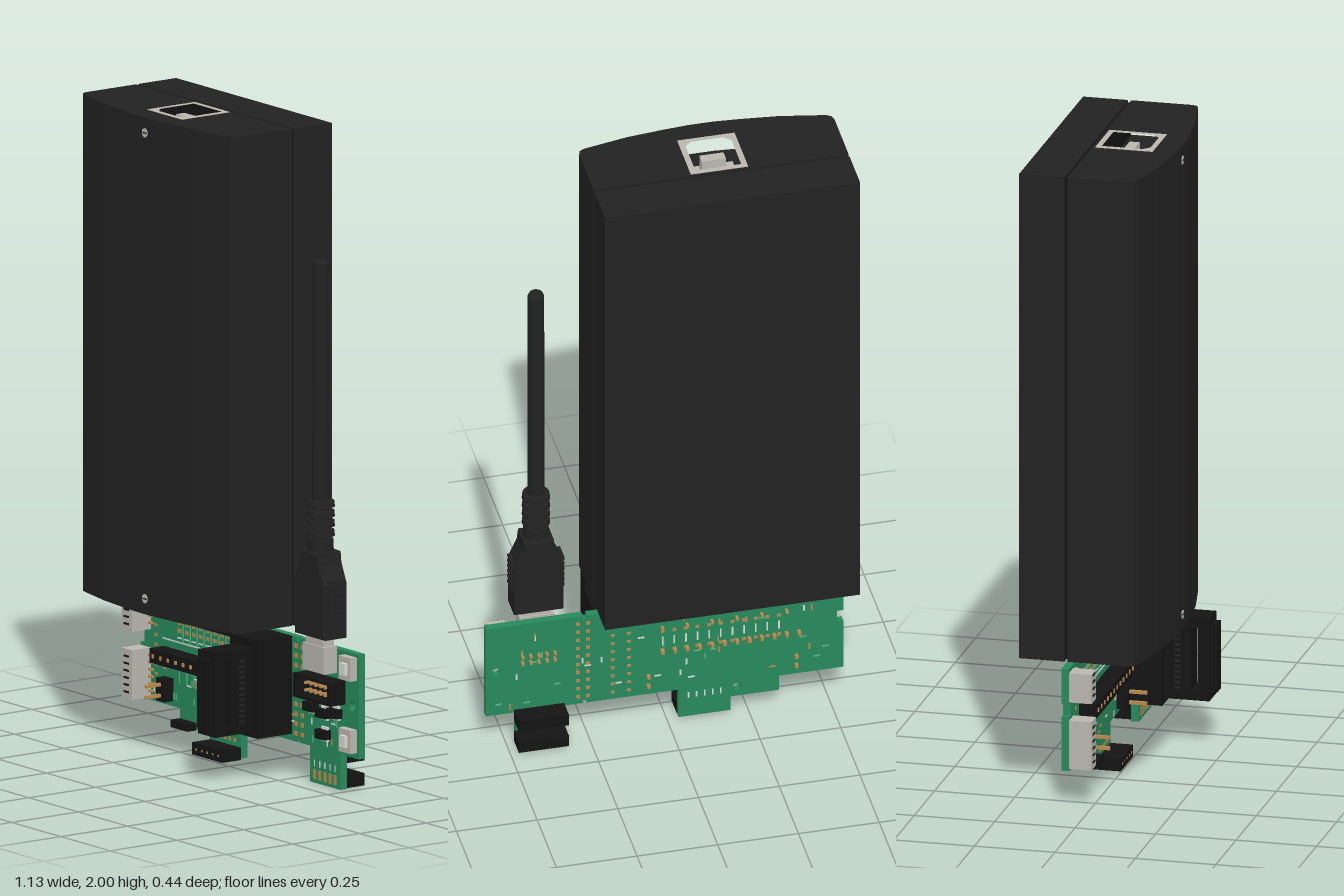
import * as THREE from 'three';

const mat = (name, color) => {
  const m = new THREE.MeshStandardMaterial({ color });
  m.name = name;
  return m;
};

export function createModel() {
  const model = new THREE.Group();
  const black = mat('case black', 0x222222);
  const dark = mat('connector black', 0x141414);
  const green = mat('board green', 0x278a5c);
  const mint = mat('trace green', 0x4fb184);
  const white = mat('silkscreen white', 0xd8dcd4);
  const metal = mat('socket grey', 0xbab7ae);
  const gold = mat('pad gold', 0xb98a4e);

  const group = (name) => {
    const g = new THREE.Group();
    g.name = name;
    model.add(g);
    return g;
  };
  const add = (parent, name, geo, m) => {
    const mesh = new THREE.Mesh(geo, m);
    mesh.name = name;
    parent.add(mesh);
    return mesh;
  };
  // box given by its limits
  const box = (parent, name, m, x0, x1, y0, y1, z0, z1) => {
    const g = new THREE.BoxGeometry(x1 - x0, y1 - y0, z1 - z0);
    g.translate((x0 + x1) / 2, (y0 + y1) / 2, (z0 + z1) / 2);
    return add(parent, name, g, m);
  };
  const points = (list) => list.map(([x, y]) => new THREE.Vector2(x, y));
  // plan outline in (x, z), raised from y0 to y1
  const raise = (parent, name, m, plan, y0, y1, hole) => {
    const flip = (l) => points(l.map(([x, z]) => [x, -z]));
    const shape = new THREE.Shape(flip(plan));
    if (hole) shape.holes.push(new THREE.Path(flip(hole)));
    const g = new THREE.ExtrudeGeometry(shape, { depth: y1 - y0, bevelEnabled: false });
    g.rotateX(-Math.PI / 2).translate(0, y0, 0);
    return add(parent, name, g, m);
  };
  const rect = (x0, x1, z0, z1) => [[x0, z0], [x1, z0], [x1, z1], [x0, z1]];

  // ---- Enclosure: flat back half, bowed front half, groove between
  const enclosure = group('enclosure');
  const cx = -0.172;
  const half = [[0.395, -0.07], [0.395, 0.118], [0.39, 0.133], [0.375, 0.142], [0.235, 0.17], [0.12, 0.182], [0.04, 0.188]];
  const front = [...half.map(([x, z]) => [cx + x, z]), ...half.slice().reverse().map(([x, z]) => [cx - x, z])];
  const socketHole = rect(-0.258, -0.08, -0.062, 0.117);
  box(enclosure, 'backShell', black, -0.567, 0.223, 0.467, 1.999, -0.22, -0.08);
  box(enclosure, 'seamGroove', dark, -0.56, 0.216, 0.473, 1.993, -0.081, -0.069);
  raise(enclosure, 'frontShell', black, front, 0.467, 1.89);
  raise(enclosure, 'frontShellTop', black, front, 1.89, 1.999, socketHole);
  for (const y of [0.515, 1.952]) {
    const g = new THREE.CylinderGeometry(0.014, 0.014, 0.006, 16).rotateX(Math.PI / 2);
    add(enclosure, 'screw', g, metal).position.set(cx, y, 0.187);
    box(enclosure, 'screwSlot', dark, cx - 0.009, cx + 0.009, y - 0.002, y + 0.002, 0.188, 0.191);
  }

  // ---- Square socket in the top face
  const socket = group('topSocket');
  const opening = [[-0.24, -0.045], [-0.098, -0.045], [-0.098, 0.08], [-0.118, 0.101], [-0.22, 0.101], [-0.24, 0.08]];
  raise(socket, 'socketFrame', metal, socketHole, 1.895, 2, opening);
  box(socket, 'socketFloor', metal, -0.25, -0.09, 1.885, 1.9, -0.055, 0.11);
  box(socket, 'socketTongue', metal, -0.207, -0.132, 1.9, 1.985, 0.014, 0.046);

  // ---- Circuit board with tabs and mounting holes
  const board = group('circuitBoard');
  const zb = -0.094, zf = -0.07;
  const outline = new THREE.Shape(points([
    [-0.545, 0.437], [-0.545, 0.325], [-0.525, 0.325], [-0.525, 0.285], [-0.545, 0.285], [-0.545, 0.114],
    [-0.345, 0.114], [-0.345, 0.062], [-0.195, 0.062], [-0.195, 0.012], [-0.035, 0.012], [-0.035, 0.114],
    [0.25, 0.114], [0.25, 0.124], [0.262, 0.124], [0.262, 0.114], [0.315, 0.114], [0.315, 0.004],
    [0.47, 0.004], [0.47, 0.114], [0.563, 0.114], [0.563, 0.437],
    [0.262, 0.437], [0.262, 0.425], [0.25, 0.425], [0.25, 0.437]]));
  for (const [x, y] of [[0.53, 0.272], [-0.215, 0.095]]) {
    outline.holes.push(new THREE.Path().absarc(x, y, 0.014, 0, Math.PI * 2, true));
  }
  const plate = new THREE.ExtrudeGeometry(outline, { depth: zf - zb, bevelEnabled: false, curveSegments: 10 });
  add(board, 'boardPlate', plate.translate(0, 0, zb), green);

  // thin painted marks on either face
  const mark = (m, x, y, w, h, back) => box(board, back ? 'backMark' : 'frontMark', m,
    x - w / 2, x + w / 2, y - h / 2, y + h / 2, back ? zb - 0.002 : zf, back ? zb : zf + 0.002);
  for (let i = 0; i < 11; i++) {
    const x = -0.345 + i * 0.036;
    for (const y of [0.352, 0.376, 0.4]) mark(gold, x, y, 0.016, 0.012, false);
    mark(white, x, 0.33, 0.022, 0.004, false);
    mark(mint, x + 0.018, 0.365, 0.005, 0.09, false);
    mark(mint, x, 0.215, 0.004, 0.05, false);
    for (const y of [0.27, 0.34, 0.39]) mark(gold, x, y, 0.012, 0.01, true);
    mark(white, x, 0.305, 0.005, 0.03, true);
  }
  for (let i = 0; i < 10; i++) {
    const y = 0.14 + i * 0.03;
    for (const x of [0.246, 0.278]) {
      mark(gold, x, y, 0.016, 0.014, false);
      mark(gold, x, y, 0.012, 0.011, true);
    }
    for (const x of [-0.465, 0.12, 0.17]) mark(gold, x, y, 0.012, 0.009, x > 0);
  }
  mark(white, -0.2, 0.316, 0.46, 0.004, false);
  mark(mint, -0.2, 0.23, 0.44, 0.006, false);
  // scattered legend marks
  let seed = 7;
  const rnd = () => (seed = (seed * 16807) % 2147483647) / 2147483647;
  for (let i = 0; i < 90; i++) {
    const back = i % 2 === 0;
    const x = -0.5 + rnd() * 1.03, y = (back ? 0.13 : 0.125) + rnd() * (back ? 0.29 : 0.1);
    if (Math.hypot(x - 0.53, y - 0.272) < 0.04 || Math.hypot(x + 0.215, y - 0.095) < 0.04) continue;
    const upright = rnd() > 0.5;
    mark([white, mint, gold][i % 3], x, y, upright ? 0.005 : 0.02, upright ? 0.02 : 0.005, back);
  }
  for (let i = 0; i < 5; i++) {
    mark(gold, 0.34 + i * 0.026, 0.03, 0.012, 0.03, false);
    mark(white, 0.34 + i * 0.026, 0.065, 0.004, 0.02, false);
    mark(gold, -0.165 + i * 0.025, 0.065, 0.012, 0.012, false);
    mark(white, -0.165 + i * 0.025, 0.09, 0.005, 0.02, true);
  }

  // ---- Headers
  const headers = group('headers');
  box(headers, 'dockConnector', dark, -0.4, 0.055, 0.415, 0.469, -0.07, 0.03);
  box(headers, 'longHeader', dark, -0.425, 0.04, 0.248, 0.292, zf, -0.015);
  for (let i = 0; i < 12; i++) {
    const x = -0.406 + i * 0.0385;
    box(headers, 'headerPin', gold, x - 0.005, x + 0.005, 0.264, 0.276, zb - 0.018, -0.012);
    if (i % 2) box(headers, 'rearPin', gold, x - 0.004, x + 0.004, 0.352, 0.36, zb - 0.018, zb);
  }
  for (const x of [-0.398, 0.06]) {
    box(headers, 'jumperHeader', dark, x - 0.021, x + 0.021, 0.13, 0.2, zf, -0.035);
    for (const y of [0.148, 0.182]) box(headers, 'jumperPin', gold, x - 0.005, x + 0.005, y - 0.005, y + 0.005, zb - 0.015, 0.02);
  }
  box(headers, 'smallEdgeHeader', dark, -0.345, -0.26, 0.06, 0.083, zf, -0.035);
  box(headers, 'edgeHeader', dark, -0.187, -0.035, 0.008, 0.046, zf, 0);
  for (let i = 0; i < 5; i++) box(headers, 'edgeContact', gold, -0.17 + i * 0.028, -0.163 + i * 0.028, 0.023, 0.03, 0, 0.001);
  for (const [y0, y1] of [[0.008, 0.046], [0.085, 0.124]]) {
    box(headers, 'rearHeader', dark, 0.32, 0.475, y0, y1, -0.157, zb);
  }

  // open shrouded header with pins, seen from the front
  box(headers, 'shroudFloor', dark, 0.305, 0.495, 0.272, 0.345, zf, -0.05);
  for (const y of [0.272, 0.335]) box(headers, 'shroudWall', dark, 0.305, 0.495, y, y + 0.01, -0.05, -0.012);
  for (const x of [0.305, 0.48]) box(headers, 'shroudEnd', dark, x, x + 0.015, 0.282, 0.335, -0.05, -0.012);
  for (let i = 0; i < 10; i++) {
    const x = 0.35 + (i % 5) * 0.025, y = i < 5 ? 0.297 : 0.32;
    box(headers, 'shroudPin', gold, x - 0.004, x + 0.004, y - 0.004, y + 0.004, zb - 0.016, -0.025);
  }

  // ---- Ribbon plug standing out from the board
  const ribbon = group('ribbonPlug');
  box(ribbon, 'plugSocket', dark, 0.087, 0.225, 0.135, 0.437, zf, 0.06);
  box(ribbon, 'plugBody', dark, 0.113, 0.2, 0.152, 0.412, 0.06, 0.142);
  for (const y of [0.152, 0.382]) box(ribbon, 'plugPost', dark, 0.113, 0.2, y, y + 0.03, 0.142, 0.165);
  box(ribbon, 'strainBar', dark, 0.113, 0.2, 0.152, 0.412, 0.165, 0.2);
  box(ribbon, 'strainCap', dark, 0.133, 0.18, 0.175, 0.39, 0.2, 0.219);
  for (let i = 0; i < 12; i++) {
    const y = 0.185 + i * 0.017;
    box(ribbon, 'plugRib', black, 0.111, 0.202, y, y + 0.008, 0.09, 0.11);
  }

  // ---- Light side connectors and small chips
  const parts = group('boardParts');
  for (const [y0, y1] of [[0.332, 0.425], [0.122, 0.275]]) {
    box(parts, 'sideConnector', metal, -0.547, -0.492, y0, y1, zf, 0);
    for (let y = y0 + 0.018; y < y1 - 0.008; y += 0.022) {
      box(parts, 'connectorSlot', dark, -0.532, -0.508, y, y + 0.006, 0, 0.002);
      box(parts, 'connectorLeg', gold, -0.492, -0.475, y, y + 0.007, zf, -0.06);
    }
  }
  for (const y of [0.355, 0.132]) {
    box(parts, 'pushButton', metal, 0.493, 0.553, y, y + 0.072, zf, -0.045);
    box(parts, 'buttonCap', white, 0.512, 0.54, y + 0.018, y + 0.054, -0.045, -0.034);
  }
  for (const [x, y] of [[0.335, 0.24], [0.455, 0.24], [0.397, 0.23], [0.397, 0.165]]) {
    box(parts, 'chip', dark, x - 0.025, x + 0.025, y - 0.014, y + 0.014, zf, -0.045);
    for (const s of [-1, 1]) box(parts, 'chipLeg', white, x - 0.016, x + 0.016, y + s * 0.018 - 0.004, y + s * 0.018 + 0.004, zf, -0.062);
  }

  // ---- Cable with plug and metal port
  const cable = group('cable');
  const px = 0.397, pz = -0.05;
  box(cable, 'metalPort', metal, 0.343, 0.452, 0.362, 0.445, zf, -0.022);
  box(cable, 'metalTip', metal, 0.353, 0.442, 0.44, 0.48, -0.066, -0.026);
  const body = new THREE.Shape(points([[-0.077, 0.472], [0.077, 0.472], [0.077, 0.64], [0.05, 0.7],
    [0.046, 0.735], [-0.046, 0.735], [-0.05, 0.7], [-0.077, 0.64]]));
  const bodyGeo = new THREE.ExtrudeGeometry(body, { depth: 0.078, bevelSize: 0.005, bevelThickness: 0.005, bevelOffset: -0.005, bevelSegments: 1 });
  add(cable, 'plugGrip', bodyGeo, black).position.set(px, 0, pz - 0.039);
  for (let i = 0; i < 6; i++) {
    const y = 0.55 + i * 0.019;
    box(cable, 'gripRidge', black, px - 0.082, px + 0.082, y, y + 0.009, pz - 0.03, pz + 0.03);
  }
  const profile = [[0, 0.73], [0.04, 0.73], [0.038, 0.77]];
  for (let i = 0; i < 4; i++) {
    const y = 0.77 + i * 0.03;
    profile.push([0.028, y], [0.028, y + 0.01], [0.043, y + 0.01], [0.041, y + 0.028], [0.028, y + 0.028]);
  }
  profile.push([0.026, 0.89], [0.025, 1.62], [0.02, 1.63], [0, 1.63]);
  // each lathe segment keeps its own hard edges
  for (let i = 0; i < profile.length - 1; i++) {
    const g = new THREE.LatheGeometry(points([profile[i], profile[i + 1]]), 24);
    add(cable, i > profile.length - 5 ? 'cord' : 'strainRelief', g, black).position.set(px, 0, pz);
  }
  return model;
}
